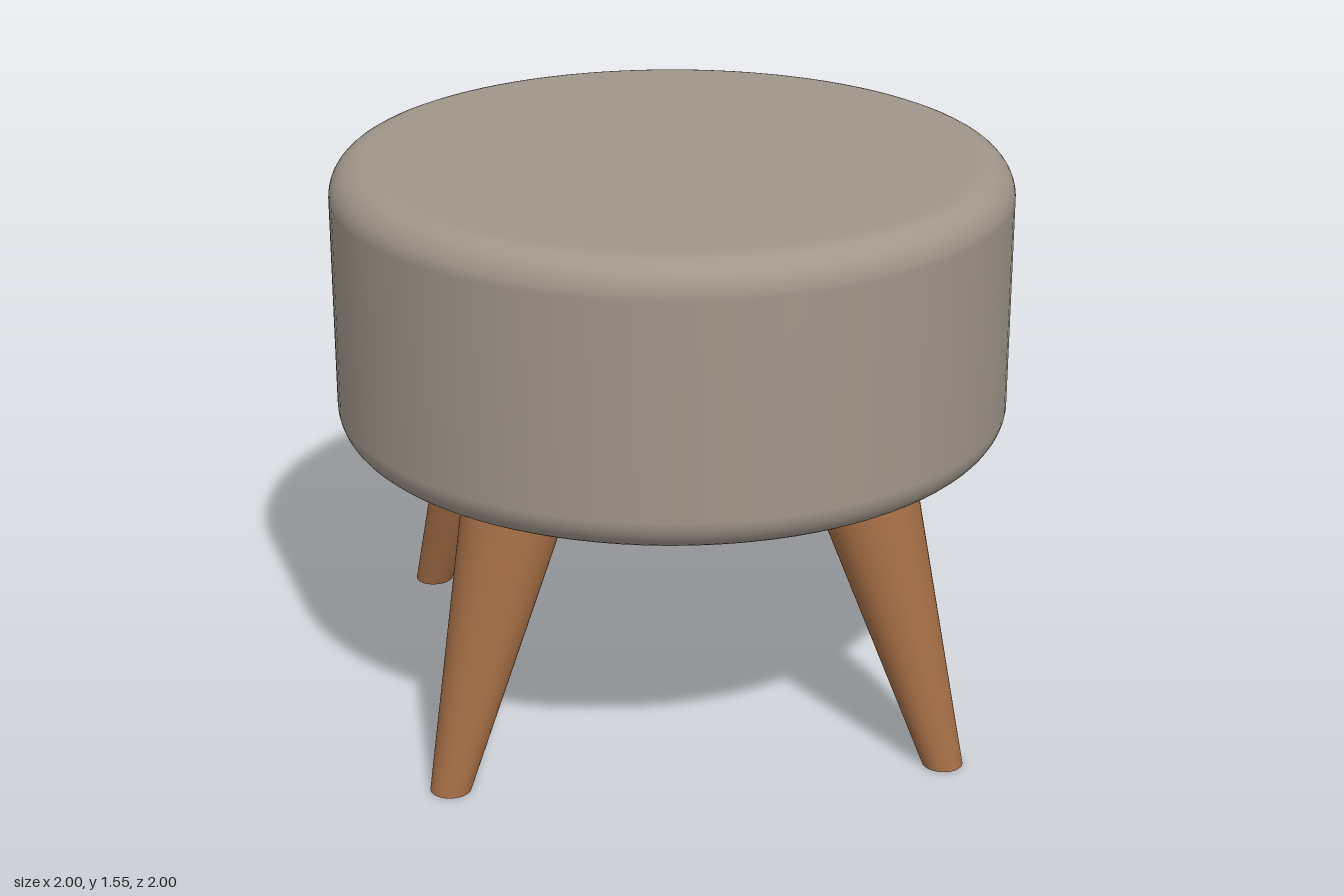
import * as THREE from 'three';

const SEAT = { radius: 0.932, bottom: 0.77, top: 1.55, round: 0.095 };
const LEG = { height: 0.775, footRadius: 0.055, topRadius: 0.148, footOut: 0.945, topOut: 0.65 };

// Upholstered drum with rounded upper and lower edges
function seatGeometry() {
  const { radius, bottom, top, round } = SEAT;
  const inner = radius - round;
  const profile = [new THREE.Vector2(0, bottom), new THREE.Vector2(inner - 0.01, bottom)];
  const addCorner = (cy, start) => {
    for (let i = 0; i <= 10; i++) {
      const a = start + (i / 10) * Math.PI / 2;
      profile.push(new THREE.Vector2(inner + round * Math.cos(a), cy + round * Math.sin(a)));
    }
  };
  addCorner(bottom + round, -Math.PI / 2);
  addCorner(top - round, 0);
  profile.push(new THREE.Vector2(inner - 0.01, top), new THREE.Vector2(0, top));
  return new THREE.LatheGeometry(profile, 96);
}

// Tapered leg, sheared outward so that the foot and the top stay level
function legGeometry() {
  const { height, footRadius, topRadius, footOut, topOut } = LEG;
  const geometry = new THREE.CylinderGeometry(topRadius, footRadius, height, 48);
  geometry.translate(0, height / 2, 0);
  const shear = (topOut - footOut) / height;
  geometry.applyMatrix4(new THREE.Matrix4().set(
    1, shear, 0, footOut,
    0, 1, 0, 0,
    0, 0, 1, 0,
    0, 0, 0, 1,
  ));
  return geometry;
}

export function createModel() {
  const fabric = new THREE.MeshStandardMaterial({ color: 0xa0968a });
  fabric.name = 'taupe fabric';
  const wood = new THREE.MeshStandardMaterial({ color: 0xa36d45 });
  wood.name = 'brown wood';

  const model = new THREE.Group();
  model.name = 'footstool';

  const seat = new THREE.Mesh(seatGeometry(), fabric);
  seat.name = 'seat';
  model.add(seat);

  // Four splayed legs
  const geometry = legGeometry();
  ['leftLeg', 'backLeg', 'rightLeg', 'frontLeg'].forEach((name, i) => {
    const leg = new THREE.Mesh(geometry, wood);
    leg.name = name;
    leg.rotation.y = i * Math.PI / 2;
    model.add(leg);
  });
  return model;
}
